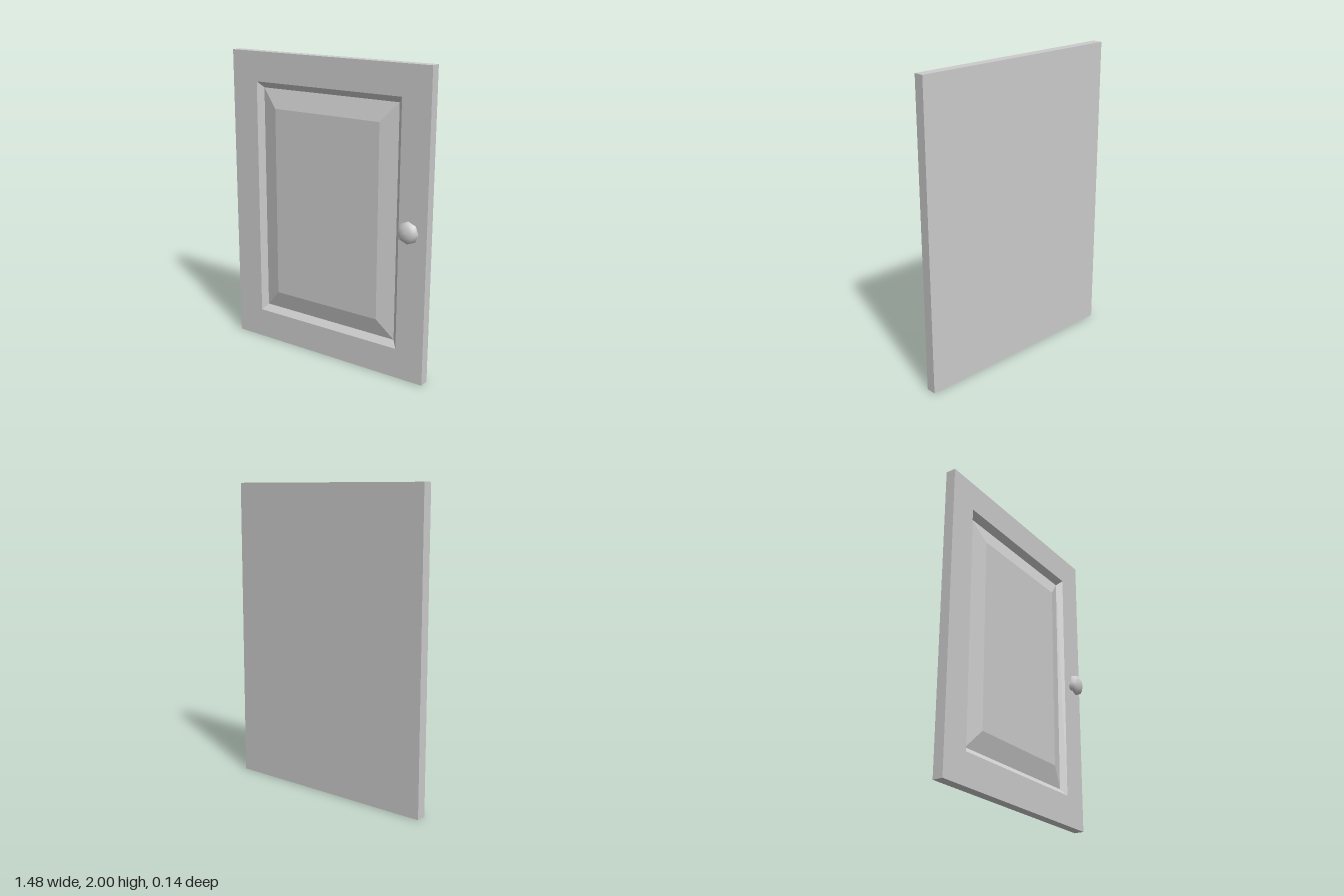
import * as THREE from 'three';

const grey = new THREE.MeshStandardMaterial({ color: 0xcccccc });
const flatGrey = new THREE.MeshStandardMaterial({ color: 0xcccccc, flatShading: true });

const FRONT = -0.005, BACK = -0.072, GROOVE = -0.04;

// Skins a row of rectangular rings [halfWidth, bottom, top, z]; ends can be capped.
function rectLoft(rings, capStart, capEnd) {
  const pos = [];
  const loops = rings.map(([w, b, t, z]) => [[-w, b, z], [w, b, z], [w, t, z], [-w, t, z]]);
  const quad = (a, b, c, d) => pos.push(...a, ...b, ...c, ...a, ...c, ...d);
  for (let i = 0; i < loops.length - 1; i++) {
    const p = loops[i], q = loops[i + 1];
    for (let k = 0; k < 4; k++) {
      const n = (k + 1) % 4;
      quad(p[k], p[n], q[n], q[k]);
    }
  }
  if (capStart) quad(...[...loops[0]].reverse());
  if (capEnd) quad(...loops[loops.length - 1]);
  const geo = new THREE.BufferGeometry();
  geo.setAttribute('position', new THREE.Float32BufferAttribute(pos, 3));
  geo.computeVertexNormals();
  return geo;
}

function addMesh(parent, name, geometry, material) {
  const mesh = new THREE.Mesh(geometry, material);
  mesh.name = name;
  parent.add(mesh);
  return mesh;
}

export function createModel() {
  const group = new THREE.Group();
  group.name = 'cabinetDoor';

  // Slab with flat border and chamfered opening
  const groove = [0.51, 0.24, 1.765, GROOVE];
  addMesh(group, 'doorFrame', rectLoft([
    [0.74, 0, 2, BACK],
    [0.74, 0, 2, FRONT],
    [0.545, 0.2, 1.805, FRONT],
    groove,
  ], true, false), flatGrey);

  // Raised centre panel with bevelled borders
  addMesh(group, 'raisedPanel', rectLoft([
    groove,
    [0.395, 0.365, 1.64, FRONT],
  ], false, true), flatGrey);

  // Knob, turned about its own axis and pointing forward
  const knob = new THREE.Group();
  knob.name = 'knob';
  knob.position.set(0.63, 1, 0);
  knob.rotation.x = Math.PI / 2;
  group.add(knob);

  const lathe = (points) =>
    new THREE.LatheGeometry(points.map(([r, h]) => new THREE.Vector2(r, h)), 8);

  addMesh(knob, 'knobStem', lathe([[0.031, FRONT], [0.031, 0.03]]), grey);
  addMesh(knob, 'knobUnderside', lathe([[0, 0.029], [0.072, 0.029]]), grey);

  // Domed cap: a quarter ellipse from rim to tip
  const dome = [];
  for (let i = 0; i <= 5; i++) {
    const a = (i / 5) * Math.PI / 2;
    dome.push([i === 5 ? 0 : 0.072 * Math.cos(a), 0.029 + 0.043 * Math.sin(a)]);
  }
  addMesh(knob, 'knobCap', lathe(dome), grey);

  return group;
}
